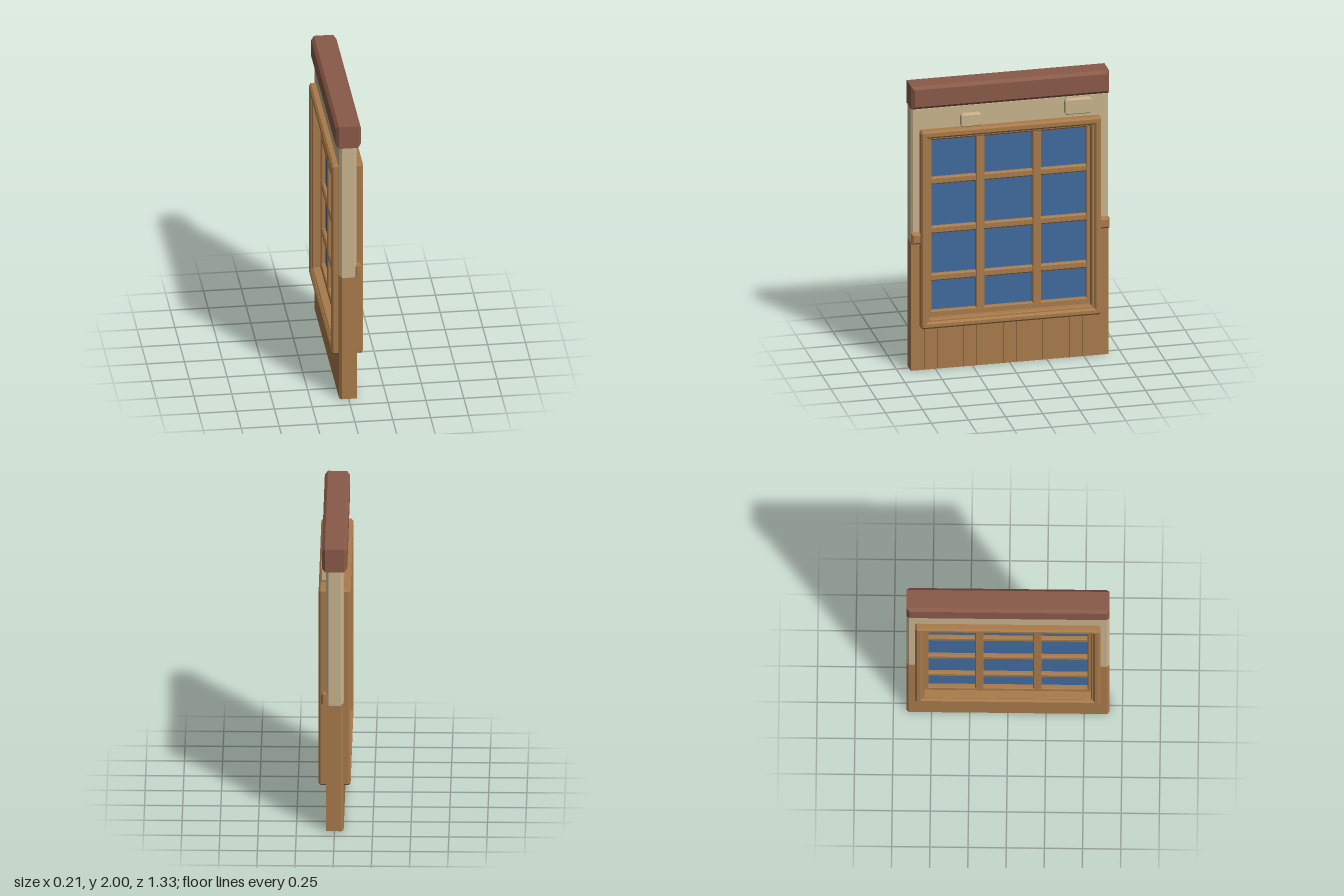
import * as THREE from 'three';

const mat = (name, color) => {
  const m = new THREE.MeshStandardMaterial({ color });
  m.name = name;
  return m;
};

export function createModel() {
  const model = new THREE.Group();
  model.name = 'windowWall';
  const wood = mat('wood', 0xa87b4b);
  const plaster = mat('plaster', 0xc9b48e);
  const beamRed = mat('beamRed', 0x8a5a49);
  const glass = mat('glass', 0x416b9f);

  const add = (name, geometry, material) => {
    const mesh = new THREE.Mesh(geometry, material);
    mesh.name = name;
    model.add(mesh);
    return mesh;
  };

  // Polygon in (z, y), spanning x0..x1, chamfered around its outline
  const slab = (name, points, x0, x1, bevel, material, hole) => {
    const shape = new THREE.Shape(points.map(p => new THREE.Vector2(...p)));
    if (hole) shape.holes.push(new THREE.Path(hole.map(p => new THREE.Vector2(...p))));
    const geometry = new THREE.ExtrudeGeometry(shape, {
      depth: x1 - x0 - 2 * bevel, bevelEnabled: bevel > 0, bevelSegments: 1,
      bevelSize: bevel, bevelThickness: bevel, bevelOffset: -bevel,
    });
    geometry.translate(0, 0, bevel - (x1 - x0) / 2);
    geometry.rotateY(-Math.PI / 2);
    geometry.translate((x0 + x1) / 2, 0, 0);
    return add(name, geometry, material);
  };
  const rect = (z0, z1, y0, y1, c = 0) => c
    ? [[z0 + c, y0], [z1 - c, y0], [z1, y0 + c], [z1, y1 - c], [z1 - c, y1], [z0 + c, y1], [z0, y1 - c], [z0, y0 + c]]
    : [[z0, y0], [z1, y0], [z1, y1], [z0, y1]];
  const ring = (name, half, y0, y1, halfIn, yIn0, yIn1, x, bevel, corner = 0) =>
    slab(name, rect(-half, half, y0, y1, corner), -x, x, bevel, wood, rect(-halfIn, halfIn, yIn0, yIn1));

  // Top beam
  slab('topBeam', rect(-0.665, 0.665, 1.84, 2), -0.083, 0.083, 0.02, beamRed);

  // Plaster upper wall, an arch around the window
  slab('plasterWall', [
    [-0.665, 0.89], [-0.575, 0.89], [-0.575, 1.66], [0.575, 1.66],
    [0.575, 0.89], [0.665, 0.89], [0.665, 1.85], [-0.665, 1.85],
  ], -0.06, 0.055, 0.016, plaster);

  // Wooden lower wall: plan outline in (x, z) raised along y, chamfered on the plain side
  const upright = (name, outline, y0, y1) => {
    const shape = new THREE.Shape(outline.map(([x, z]) => new THREE.Vector2(x, -z)));
    const geometry = new THREE.ExtrudeGeometry(shape, { depth: y1 - y0, bevelEnabled: false });
    geometry.rotateX(-Math.PI / 2);
    geometry.translate(0, y0, 0);
    return add(name, geometry, wood);
  };
  upright('lowerWall', [
    [-0.045, -0.665], [0.047, -0.665], [0.047, 0.665],
    [-0.045, 0.665], [-0.06, 0.65], [-0.06, -0.65],
  ], 0, 0.33);
  for (const s of [-1, 1]) {
    upright('sidePost', [
      [-0.045, s * 0.665], [0.047, s * 0.665], [0.047, s * 0.575],
      [-0.06, s * 0.575], [-0.06, s * 0.65],
    ], 0.33, 0.9);
    // Rail ends beside the window
    const z0 = s > 0 ? 0.59 : -0.665;
    slab('railEnd', rect(z0, z0 + 0.075, 0.895, 0.97), 0.04, 0.087, 0.012, wood);
  }

  // Plank cladding with narrow gaps
  const count = 15, pitch = 1.33 / count;
  for (let i = 0; i < count; i++) {
    const isEnd = i === 0 || i === count - 1;
    const z0 = -0.665 + i * pitch + (i === 0 ? 0 : 0.0015);
    const z1 = -0.665 + (i + 1) * pitch - (i === count - 1 ? 0 : 0.0015);
    slab('plank', rect(z0, z1, 0, isEnd ? 0.9 : 0.33), 0.046, 0.055, 0, wood);
  }

  // Window casing, stepped inwards to the sash
  ring('outerCasing', 0.607, 0.3, 1.69, 0.558, 0.347, 1.637, 0.105, 0.013, 0.012);
  ring('innerCasing', 0.575, 0.33, 1.66, 0.545, 0.36, 1.625, 0.088, 0.005);
  ring('sash', 0.56, 0.345, 1.64, 0.52, 0.4, 1.6, 0.035, 0.006);

  // Glass and glazing bars
  slab('glassPane', rect(-0.53, 0.53, 0.39, 1.61), -0.005, 0.005, 0, glass);
  for (const z of [0.193, -0.187])
    slab('verticalBar', rect(z - 0.028, z + 0.028, 0.38, 1.615), -0.034, 0.034, 0.005, wood);
  for (const y of [1.31, 0.965, 0.632])
    slab('horizontalBar', rect(-0.535, 0.535, y - 0.025, y + 0.025), -0.03, 0.03, 0.009, wood);

  // Raised stones in the plaster
  slab('smallStone', rect(0.2, 0.335, 1.695, 1.783, 0.01), 0.045, 0.09, 0.006, plaster);
  slab('largeStone', rect(-0.545, -0.365, 1.718, 1.825, 0.012), 0.045, 0.09, 0.006, plaster);

  return model;
}
